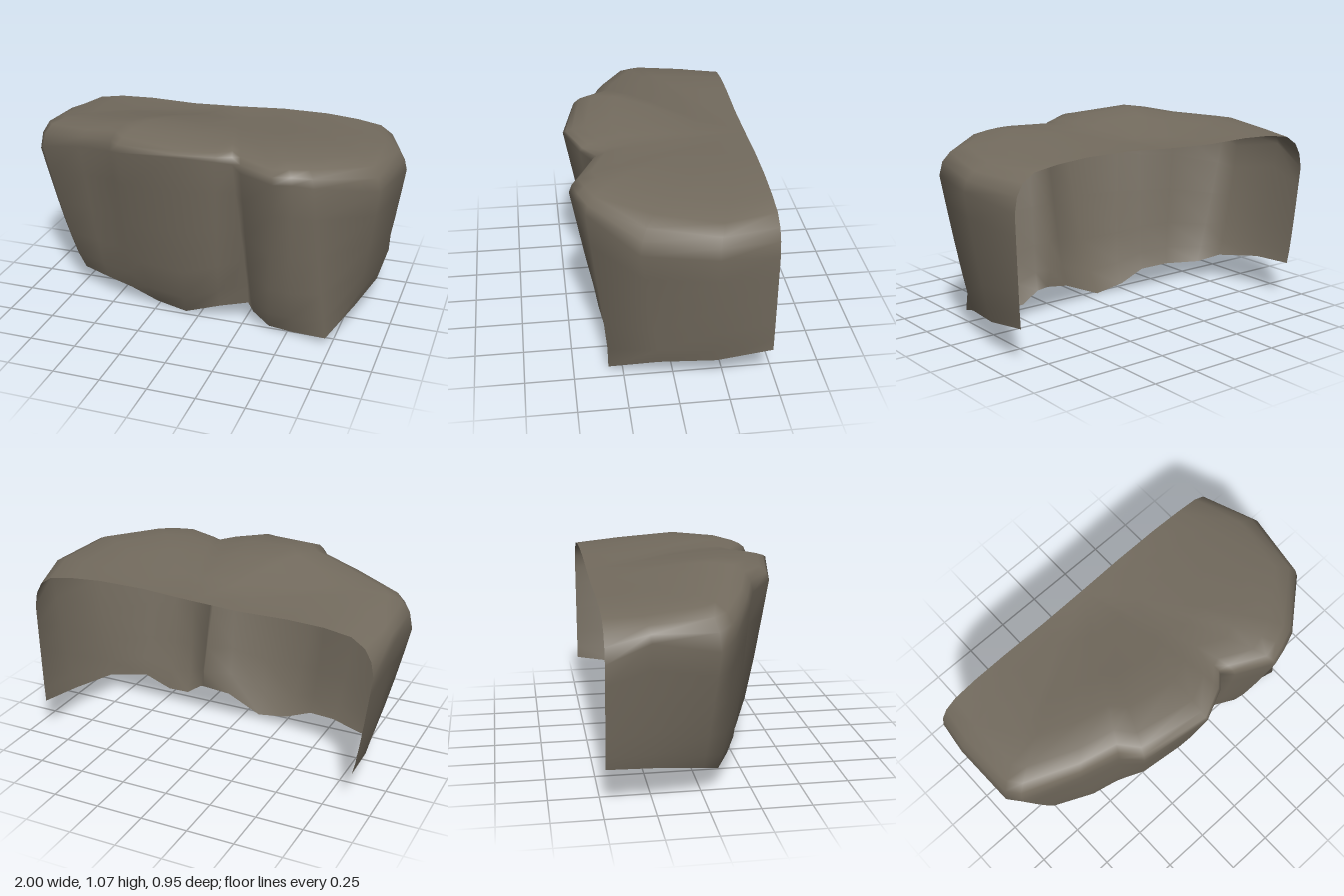
import * as THREE from 'three';

// Columns around the cliff, from the back at -x, round the front, to the back at +x:
// [edge x, edge z, edge y, foot x, foot y, foot z, forward bulge]
const COLUMNS = [
  [-0.97, -0.48, 0.74, -0.89, 0.20, -0.48, 0],
  [-1.00, -0.27, 0.84, -0.88, 0.19, -0.25, 0],
  [-0.99, 0.05, 0.78, -0.82, 0.15, 0.00, 0],
  [-0.94, 0.12, 0.82, -0.73, 0.105, 0.09, 0.01],
  [-0.66, 0.25, 0.90, -0.55, 0.105, 0.17, 0.02],
  [-0.46, 0.31, 0.92, -0.40, 0.09, 0.21, 0.01],
  [-0.38, 0.41, 0.96, -0.25, 0.03, 0.21, 0.045],
  [-0.02, 0.475, 1.00, -0.08, 0.00, 0.22, 0.045],
  [0.14, 0.40, 0.97, 0.12, 0.08, 0.24, 0.02],
  [0.21, 0.33, 0.94, 0.27, 0.11, 0.21, -0.03],
  [0.27, 0.38, 0.92, 0.31, 0.085, 0.25, 0.01],
  [0.46, 0.475, 0.92, 0.40, 0.02, 0.26, 0.035],
  [0.55, 0.45, 0.92, 0.53, 0.012, 0.27, 0.03],
  [0.65, 0.41, 0.90, 0.72, 0.04, 0.325, -0.01],
  [0.93, 0.18, 0.83, 0.82, 0.125, 0.08, 0],
  [1.00, -0.18, 0.82, 0.88, 0.155, -0.20, 0],
  [0.91, -0.48, 0.76, 0.89, 0.20, -0.48, 0],
];
const BACK = -0.48;
const WALL_ROWS = [0, 0.12, 0.3, 0.55, 0.8, 1];   // foot to edge
// Edge to the middle of the back: [scale, share of the rise to the top]
const TOP_ROWS = [[0.985, 0.5], [0.95, 0.83], [0.88, 1], [0.74, 1], [0.55, 1], [0.28, 1], [0, 1]];

const bump = (x, z, cx, cz, r) => Math.exp(-((x - cx) ** 2 + (z - cz) ** 2) / (r * r));

// Height of the uneven top, falling away at the back corners
function topHeight(x, z) {
  const corner = 0.02 + 0.08 * THREE.MathUtils.clamp(z / BACK, 0, 1);
  return 0.98 + 0.09 * bump(x, z, -0.23, 0.2, 0.36)
    + 0.04 * bump(x, z, 0.5, 0.13, 0.28)
    - 0.035 * bump(x, z, -0.25, BACK, 0.4) - corner * x ** 4;
}

function cliffGeometry() {
  const { lerp } = THREE.MathUtils;
  const rows = [];
  // Leaning front and side walls
  for (const v of WALL_ROWS) {
    const swell = Math.sin(Math.PI * Math.sqrt(v));
    rows.push(COLUMNS.map(([ex, ez, ey, fx, fy, fz, bulge]) =>
      [lerp(fx, ex, v ** 0.8), lerp(fy, ey, v), lerp(fz, ez, v) + bulge * swell]));
  }
  // Rounded rim and top
  for (const [s, rise] of TOP_ROWS) {
    rows.push(COLUMNS.map(([ex, ez, ey]) => {
      const x = ex * s, z = BACK + (ez - BACK) * s;
      return [x, lerp(ey, topHeight(x, z), rise), z];
    }));
  }

  const n = COLUMNS.length, index = [];
  for (let r = 0; r < rows.length - 1; r++) {
    for (let c = 0; c < n - 1; c++) {
      const a = r * n + c, b = a + 1, d = a + n, e = d + 1;
      if (r < rows.length - 2) index.push(a, b, e, a, e, d);
      else index.push(a, b, d);
    }
  }
  const geometry = new THREE.BufferGeometry();
  geometry.setAttribute('position', new THREE.Float32BufferAttribute(rows.flat(2), 3));
  geometry.setIndex(index);
  geometry.computeVertexNormals();
  // The last row meets in one point, so it shares one upward normal
  const normals = geometry.attributes.normal;
  for (let i = normals.count - n; i < normals.count; i++) normals.setXYZ(i, 0, 1, 0);
  return geometry;
}

export function createModel() {
  const group = new THREE.Group();
  group.name = 'rockCliff';
  // Shell open at the back and underneath
  const stone = new THREE.MeshStandardMaterial({ color: 0x736b5e, side: THREE.DoubleSide });
  stone.name = 'stone';
  const cliff = new THREE.Mesh(cliffGeometry(), stone);
  cliff.name = 'cliffShell';
  group.add(cliff);
  return group;
}
